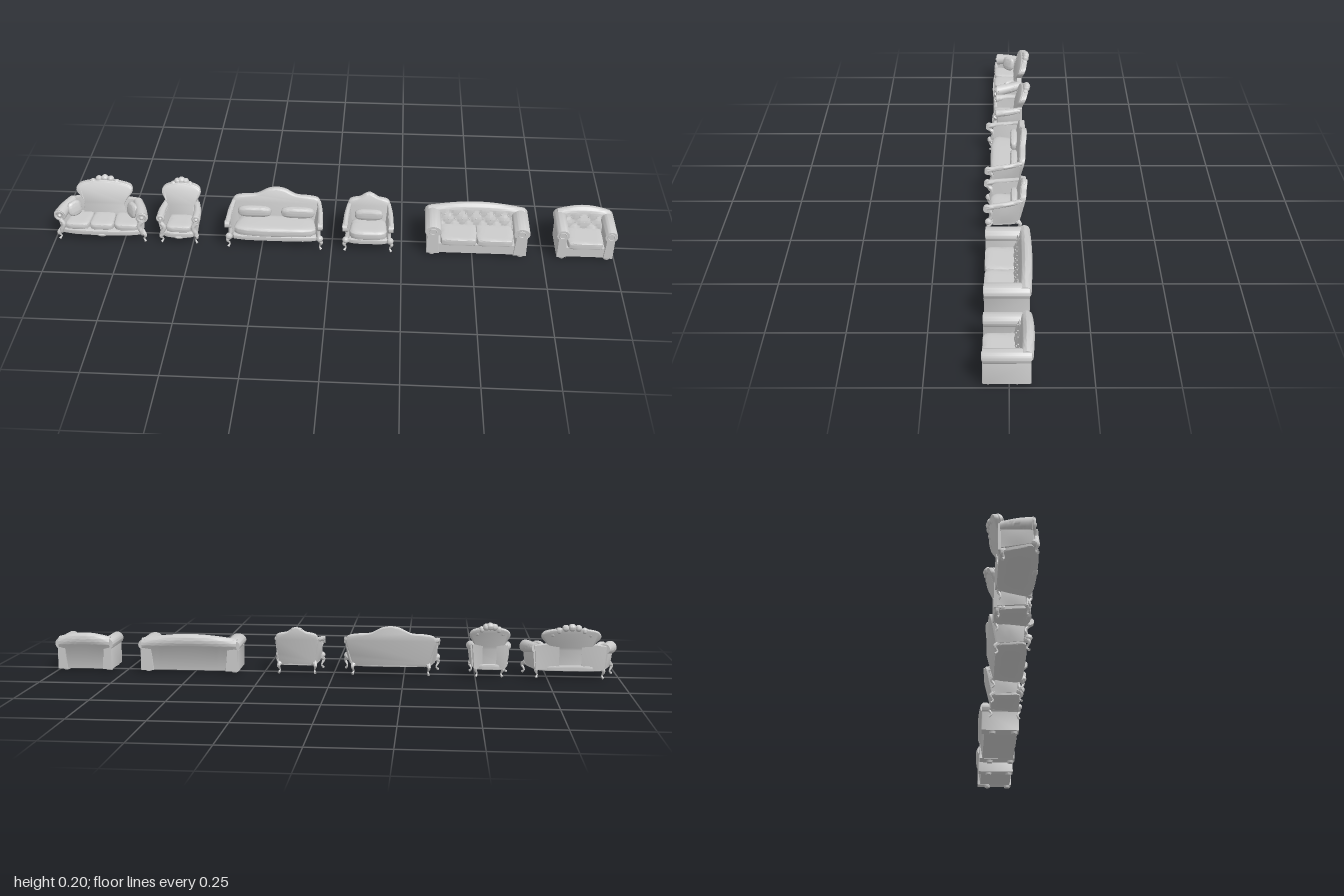
import * as THREE from 'three';
import { toCreasedNormals } from 'three/addons/utils/BufferGeometryUtils.js';

const V = (x, y, z) => new THREE.Vector3(x, y, z);
const mat = new THREE.MeshStandardMaterial({ color: 0xcccccc, side: THREE.DoubleSide });

// Adds a mesh; mirrored copies get their triangle order flipped
function add(group, name, geo, mirrored = false) {
  const g = geo.index ? geo.toNonIndexed() : geo.clone();
  if (mirrored) {
    const p = g.attributes.position, a = V(), b = V();
    for (let i = 0; i < p.count; i += 3) {
      a.fromBufferAttribute(p, i + 1); b.fromBufferAttribute(p, i + 2);
      p.setXYZ(i, -p.getX(i), p.getY(i), p.getZ(i));
      p.setXYZ(i + 1, -b.x, b.y, b.z);
      p.setXYZ(i + 2, -a.x, a.y, a.z);
    }
  }
  const mesh = new THREE.Mesh(toCreasedNormals(g, 0.7), mat);
  mesh.name = name;
  group.add(mesh);
}
function pair(group, name, geo) {
  add(group, name + 'Left', geo);
  add(group, name + 'Right', geo, true);
}
// Moves every vertex by a rule
function warp(geo, rule) {
  const p = geo.attributes.position, v = V();
  for (let i = 0; i < p.count; i++) {
    v.fromBufferAttribute(p, i);
    rule(v, i);
    p.setXYZ(i, v.x, v.y, v.z);
  }
  return geo;
}
const box = (x0, x1, y0, y1, z0, z1) =>
  new THREE.BoxGeometry(x1 - x0, y1 - y0, z1 - z0).translate((x0 + x1) / 2, (y0 + y1) / 2, (z0 + z1) / 2);
const ball = (r, x, y, z) => new THREE.SphereGeometry(r, 12, 8).translate(x, y, z);

// Rounded block given by its extents; n sets how boxy it is
function cushion(x0, x1, y0, y1, z0, z1, n = 6) {
  return warp(new THREE.SphereGeometry(1, 32, 20), v => {
    const k = (Math.abs(v.x) ** n + Math.abs(v.y) ** n + Math.abs(v.z) ** n) ** (-1 / n);
    v.multiplyScalar(k);
  }).scale((x1 - x0) / 2, (y1 - y0) / 2, (z1 - z0) / 2)
    .translate((x0 + x1) / 2, (y0 + y1) / 2, (z0 + z1) / 2);
}
// Seat block that narrows to the back and bows out at the front
function seatBlock(w, y0, y1, z0, z1, narrow, bow, n = 8) {
  return warp(cushion(-w, w, y0, y1, z0, z1, n), v => {
    const t = (v.z - z0) / (z1 - z0);
    v.z += bow * t * (1 - (v.x / w) ** 2);
    v.x *= narrow + (1 - narrow) * t;
  });
}
// Closed tube whose radius follows a function of its length
function tube(pts, radius, seg = 18, sides = 10) {
  const curve = new THREE.CatmullRomCurve3(pts);
  return warp(new THREE.TubeGeometry(curve, seg, 1, sides), (v, i) => {
    const ring = Math.floor(i / (sides + 1));
    const u = ring <= 1 ? 0 : ring >= seg - 1 ? 1 : ring / seg;
    const r = ring === 0 || ring === seg ? 0 : radius(u);
    v.sub(curve.getPointAt(ring / seg)).multiplyScalar(r).add(curve.getPointAt(u));
  });
}
// Padded slab between four corners
function slab(a, b, c, d, thick, bulge = 0) {
  const n = b.clone().sub(a).cross(d.clone().sub(a)).normalize();
  return warp(new THREE.BoxGeometry(1, 1, 1, 6, 6, 1), v => {
    const s = v.x + 0.5, t = v.y + 0.5, w = v.z;
    const q = a.clone().lerp(b, s).lerp(d.clone().lerp(c, s), t);
    v.copy(q).addScaledVector(n, w * thick + (w > 0 ? bulge * Math.sin(Math.PI * s) * Math.sin(Math.PI * t) : 0));
  });
}
// Back panel: a half outline mirrored, extruded and leaned back
function backPanel(half, depth, lean) {
  const pts = new THREE.SplineCurve(half.map(p => new THREE.Vector2(...p))).getPoints(24);
  const outline = [...pts, ...pts.slice(0, -1).reverse().map(p => new THREE.Vector2(-p.x, p.y))];
  const geo = new THREE.ExtrudeGeometry(new THREE.Shape(outline), {
    depth, bevelEnabled: true, bevelSize: 0.003, bevelThickness: 0.004, bevelSegments: 2,
  });
  const rim = outline.map(p => V(p.x, p.y, lean(p.y) + 0.004));
  return { geo: warp(geo, v => { v.z += lean(v.y) - depth / 2; }), rim };
}
// S-shaped leg from knee to foot
function cabriole(x, z, top, out, fwd) {
  return tube([V(x, top, z), V(x + out, top * 0.72, z + fwd), V(x + out * 0.4, top * 0.3, z + fwd * 0.3),
    V(x + out * 0.9, 0.004, z + fwd)], u => 0.011 - 0.014 * u + 0.008 * u ** 4, 14, 8);
}

// Scrolled settee or chair with a shell crest
function shellSeat(cx, W, B, pillows) {
  const g = new THREE.Group(), wide = W > 0.1;
  g.name = wide ? 'shellSofa' : 'shellChair';
  g.position.x = cx;
  const lean = y => -0.03 - 2 * (y - 0.05) ** 2;
  const back = backPanel([[B * 0.8, 0.035], [B * 0.76, 0.075], [B * 0.72, 0.11], [B * 0.85, 0.132],
    [B, 0.152], [B * 0.9, 0.167], [B * 0.5, 0.176], [0, 0.181]], 0.018, lean);
  add(g, 'backrest', back.geo);
  add(g, 'backFrame', tube(back.rim, () => 0.005, 70, 7));
  // Crest of lobes
  for (let i = -3; i <= 3; i++) {
    const y = 0.187 - 0.003 * i * i;
    add(g, 'crestLobe', ball(0.0135 - Math.abs(i) * 0.001, i * B * 0.22, y, lean(y) - 0.004));
  }
  // Seat
  add(g, 'seatRail', seatBlock(W - 0.018, 0.027, 0.049, -0.05, 0.058, 0.72, 0.008));
  const n = wide ? 3 : 1, cw = (W - 0.03) * 2 / n;
  for (let i = 0; i < n; i++) {
    const x = -W + 0.03 + i * cw;
    add(g, 'seatCushion', warp(cushion(x, x + cw, 0.045, 0.073, -0.035, 0.06, 5), v => { v.x *= 0.86 + 1.5 * v.z; }));
  }
  add(g, 'apronOrnament', cushion(-0.02, 0.02, 0.022, 0.04, 0.05, 0.068, 2));
  // Rolled arms ending in scrolls
  const r = wide ? 0.023 : 0.015, xb = wide ? W - 0.055 : W - 0.026, xf = W - r - 0.002;
  pair(g, 'armRoll', tube([V(xb, 0.108, -0.042), V((xb + xf) / 2 + 0.004, 0.104, 0.004), V(xf, 0.099, 0.046)],
    u => r * (0.75 + 0.25 * u), 18, 14));
  pair(g, 'armScroll', new THREE.TorusGeometry(r * 0.72, 0.005, 8, 18).translate(xf, 0.099, 0.047));
  pair(g, 'armBoss', ball(0.007, xf, 0.099, 0.049));
  pair(g, 'armPanel', slab(V(xf - 0.008, 0.04, 0.046), V(xb - 0.006, 0.04, -0.042),
    V(xb, 0.105, -0.042), V(xf, 0.1, 0.046), 0.022, 0.003));
  pair(g, 'armPost', tube([V(xf, 0.085, 0.05), V(xf - 0.012, 0.066, 0.053), V(xf - 0.004, 0.045, 0.054),
    V(xf, 0.032, 0.052)], () => 0.008));
  // Wings joining back and arms
  pair(g, 'backWing', slab(V(B * 0.4, 0.035, -0.036), V(xb, 0.035, -0.044), V(xb + 0.006, 0.118, -0.044),
    V(B * 0.4, 0.13, -0.044), 0.018, 0.004));
  if (pillows) {
    const p = cushion(-0.028, 0.028, -0.028, 0.028, -0.01, 0.01, 2.8);
    pair(g, 'pillow', p.rotateX(-0.25).rotateY(-0.85).translate(W - 0.068, 0.1, 0));
  }
  pair(g, 'frontLeg', cabriole(W - 0.028, 0.048, 0.042, 0.013, 0.009));
  pair(g, 'backLeg', cabriole((W - 0.03) * 0.76, -0.034, 0.04, 0.008, -0.008));
  return g;
}

// Framed settee or chair with a pointed crest and open scroll arms
function framedSeat(cx, W, peak) {
  const g = new THREE.Group(), wide = W > 0.1;
  g.name = wide ? 'framedSofa' : 'framedChair';
  g.position.x = cx;
  const lean = y => -0.027 - 0.22 * (y - 0.045), c = W - 0.02;
  const back = backPanel([[c * 0.84, 0.035], [c * 0.93, 0.08], [c, 0.118], [c * 0.96, 0.139], [c * 0.75, 0.146],
    [c * 0.45, 0.15], [c * 0.2, peak - 0.01], [0, peak - 0.004]], 0.014, lean);
  add(g, 'backrest', back.geo);
  add(g, 'backFrame', tube(back.rim, () => 0.0055, 80, 8));
  add(g, 'crestOrnament', cushion(-0.02, 0.02, peak - 0.014, peak, lean(peak) - 0.006, lean(peak) + 0.012, 2));
  // Seat
  add(g, 'seatRail', seatBlock(W - 0.014, 0.029, 0.05, -0.036, 0.066, 0.86, 0.003));
  add(g, 'seatCushion', seatBlock(W - 0.022, 0.043, 0.08, -0.032, 0.064, 0.87, 0.004, 5));
  // Bolster pillows
  if (wide) pair(g, 'pillow', cushion(0.018, W - 0.036, 0.078, 0.12, -0.032, -0.004, 3.2));
  else add(g, 'pillow', cushion(-0.05, 0.05, 0.078, 0.12, -0.03, -0.006, 3.2));
  // Arms
  pair(g, 'armRail', tube([V(c - 0.002, 0.128, -0.046), V(c + 0.006, 0.12, 0), V(W - 0.011, 0.113, 0.05),
    V(W - 0.009, 0.108, 0.076)], u => 0.008 + 0.002 * u));
  pair(g, 'armScroll', new THREE.CylinderGeometry(0.013, 0.013, 0.016, 16).rotateZ(Math.PI / 2)
    .translate(W - 0.009, 0.105, 0.075));
  pair(g, 'armPost', tube([V(W - 0.01, 0.1, 0.078), V(W - 0.016, 0.082, 0.06), V(W - 0.017, 0.064, 0.063),
    V(W - 0.013, 0.045, 0.07)], () => 0.007));
  pair(g, 'armPanel', slab(V(W - 0.02, 0.04, 0.056), V(c * 0.88, 0.04, -0.03), V(c, 0.122, -0.042),
    V(W - 0.013, 0.112, 0.058), 0.012, 0.003));
  pair(g, 'knee', ball(0.012, W - 0.012, 0.05, 0.071));
  pair(g, 'frontLeg', cabriole(W - 0.018, 0.062, 0.046, 0.012, 0.01));
  pair(g, 'backLeg', cabriole(c * 0.84, -0.026, 0.042, 0.006, -0.014));
  return g;
}

// Tufted seat with rolled arms and arched rolled back
function tuftedSeat(cx, W, arm, seats) {
  const g = new THREE.Group();
  g.name = seats > 1 ? 'tuftedSofa' : 'tuftedChair';
  g.position.x = cx;
  const inner = W - arm, arch = x => Math.cos(Math.min(1, Math.abs(x) / W) * Math.PI / 2);
  add(g, 'base', box(-W + 0.01, W - 0.01, 0.01, 0.047, -0.05, 0.072));
  // Arm cross-section: upright panel under an oval roll
  const s = new THREE.Shape();
  s.moveTo(inner + 0.004, 0.01).lineTo(W - 0.008, 0.01).lineTo(W - 0.008, 0.084);
  s.absellipse(W - arm / 2, 0.101, arm / 2, 0.021, -0.9, Math.PI + 0.9, false);
  const armGeo = new THREE.ExtrudeGeometry(s, { depth: 0.136, bevelEnabled: true, bevelSize: 0.001,
    bevelThickness: 0.003, bevelSegments: 2, curveSegments: 18 }).translate(0, 0, -0.061);
  pair(g, 'arm', armGeo);
  pair(g, 'armRosette', new THREE.TorusGeometry(0.012, 0.002, 6, 20).translate(W - arm / 2, 0.101, 0.078));
  // Back cross-section swept along x and arched
  const b = new THREE.Shape();
  b.moveTo(0.053, 0.01).lineTo(0.022, 0.01).lineTo(0.03, 0.09);
  b.absellipse(0.05, 0.102, 0.019, 0.021, Math.PI + 0.4, -0.8, true);
  const L = W - 0.012;
  const backGeo = new THREE.ExtrudeGeometry(b, { depth: 2 * L, steps: 24, bevelEnabled: false, curveSegments: 18 })
    .translate(0, 0, -L).rotateY(Math.PI / 2);
  // After the turn the profile runs towards -z
  add(g, 'back', warp(backGeo, v => {
    const k = Math.max(0, (v.y - 0.04) / 0.08);
    v.y += 0.018 * k * arch(v.x);
    v.z -= 0.007 * Math.min(1, k) * arch(v.x);
  }));
  // Quilted inner back with buttons
  const cols = seats > 1 ? 10 : 4, bw = inner - 0.002;
  const quilt = new THREE.PlaneGeometry(2 * bw, 0.062, cols * 6, 18);
  add(g, 'tuftedPanel', warp(quilt, v => {
    const a = (v.x / bw) * cols * Math.PI / 2, t = v.y / 0.062 + 0.5, d = t * 2 * Math.PI;
    v.z = -0.016 - 0.017 * t + 0.005 * Math.sqrt(Math.abs(Math.sin((a + d) / 2) * Math.sin((a - d) / 2)));
    v.y = 0.06 + t * (0.052 + 0.015 * arch(v.x));
  }));
  for (let row = 0; row < 2; row++) for (let i = 0; i < cols - row; i++) {
    const x = (i - (cols - 1 - row) / 2) * 2 * bw / cols, t = row ? 0.5 : 0.8;
    add(g, 'button', ball(0.0025, x, 0.06 + t * (0.052 + 0.015 * arch(x)), -0.012 - 0.017 * t));
  }
  // Seat cushions
  const cw = 2 * inner / seats;
  for (let i = 0; i < seats; i++)
    add(g, 'seatCushion', cushion(-inner + i * cw, -inner + (i + 1) * cw, 0.043, 0.071, -0.03, 0.079, 9));
  // Bun feet
  for (const z of [0.061, -0.023])
    pair(g, 'foot', new THREE.CylinderGeometry(0.014, 0.011, 0.012, 14).translate(W - 0.026, 0.006, z));
  return g;
}

export function createModel() {
  const model = new THREE.Group();
  model.name = 'seatingCollection';
  model.add(
    shellSeat(-0.827, 0.173, 0.098, true),
    shellSeat(-0.548, 0.081, 0.066, false),
    framedSeat(-0.203, 0.174, 0.179),
    framedSeat(0.13, 0.091, 0.171),
    tuftedSeat(0.514, 0.183, 0.056, 2),
    tuftedSeat(0.895, 0.105, 0.043, 1),
  );
  return model;
}
